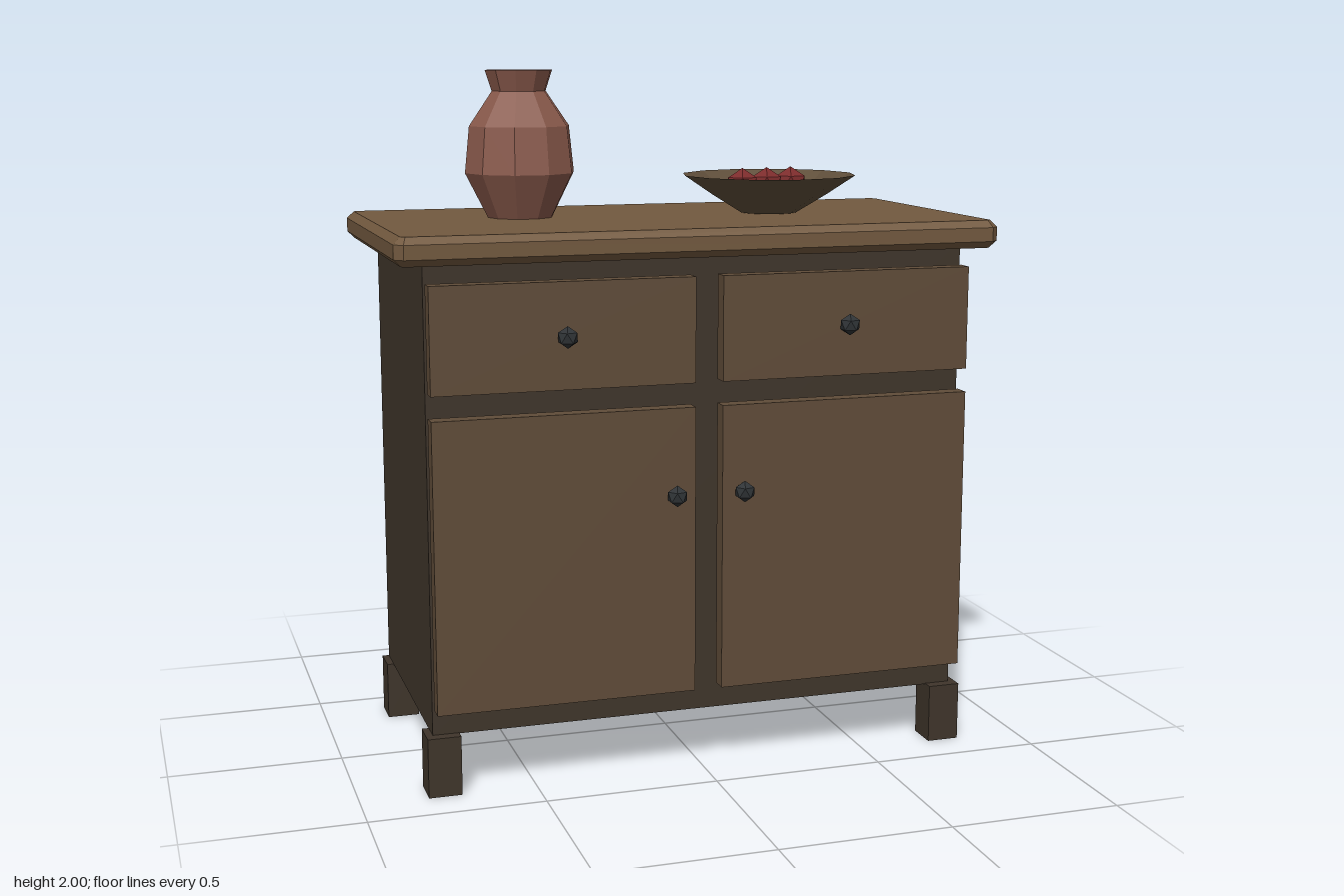
import * as THREE from 'three';

const mat = (color, side = THREE.FrontSide) =>
  new THREE.MeshStandardMaterial({ color, side, flatShading: true });

const frameWood = mat(0x3f352b);
const panelWood = mat(0x604c39);
const topWood = mat(0x72593f);
const iron = mat(0x2f3336);
const clay = mat(0x8a5a4c, THREE.DoubleSide);
const bowlWood = mat(0x5f4e3a, THREE.DoubleSide);
const fruitSkin = mat(0x7d2c2c);

export function createModel() {
  const model = new THREE.Group();

  const add = (name, geometry, material, x = 0, y = 0, z = 0) => {
    const mesh = new THREE.Mesh(geometry, material);
    mesh.name = name;
    mesh.position.set(x, y, z);
    model.add(mesh);
    return mesh;
  };

  // Box given by its extents along each axis
  const box = (name, material, [x0, x1], [y0, y1], [z0, z1]) =>
    add(name, new THREE.BoxGeometry(x1 - x0, y1 - y0, z1 - z0), material,
      (x0 + x1) / 2, (y0 + y1) / 2, (z0 + z1) / 2);

  // Low-poly ball with one corner pointing straight up
  const ball = (r) =>
    new THREE.IcosahedronGeometry(r, 0).rotateZ(Math.atan(2 / (1 + Math.sqrt(5))));

  // Open turned vessel from [radius, height] pairs
  const turned = (profile, sides) =>
    new THREE.LatheGeometry(profile.map(([r, y]) => new THREE.Vector2(r, y)), sides);

  // Cabinet carcass
  box('cabinetBody', frameWood, [-0.79, 0.79], [0.17, 1.51], [-0.403, 0.352]);

  // Legs, doors, drawers and knobs, mirrored left and right
  for (const [side, s] of [['right', -1], ['left', 1]]) {
    const span = (a, b) => (s > 0 ? [a, b] : [-b, -a]);
    box(`${side}FrontLeg`, frameWood, span(0.715, 0.81), [0, 0.172], [0.29, 0.384]);
    box(`${side}BackLeg`, frameWood, span(0.715, 0.81), [0, 0.172], [-0.404, -0.31]);
    box(`${side}Door`, panelWood, span(0.04, 0.787), [0.25, 1.077], [0.37, 0.42]);
    box(`${side}Drawer`, panelWood, span(0.04, 0.787), [1.145, 1.443], [0.37, 0.42]);
    add(`${side}DoorKnob`, ball(0.031), iron, s * 0.1, 0.83, 0.44);
    add(`${side}DrawerKnob`, ball(0.031), iron, s * 0.412, 1.293, 0.44);
  }

  // Tabletop slab with chamfered edges and corners
  const bevel = 0.02, w = 0.876 - bevel, d = 0.448 - bevel, c = 0.012;
  const outline = new THREE.Shape([
    [w, -d + c], [w, d - c], [w - c, d], [-w + c, d],
    [-w, d - c], [-w, -d + c], [-w + c, -d], [w - c, -d],
  ].map(([x, y]) => new THREE.Vector2(x, y)));
  const slab = new THREE.ExtrudeGeometry(outline, {
    depth: 0.08 - 2 * bevel, bevelThickness: bevel, bevelSize: bevel, bevelSegments: 1,
  });
  slab.rotateX(-Math.PI / 2);
  add('tabletop', slab, topWood, 0, 1.495 + bevel, -0.011);

  // Clay vase, open at the mouth
  const vase = turned([
    [0.097, 1.575], [0.163, 1.705], [0.149, 1.84], [0.08, 1.94], [0.1, 2.0],
  ], 10);
  add('vase', vase.rotateY(Math.PI / 2), clay, -0.415, 0, -0.096);

  // Shallow bowl
  add('bowl', turned([[0.085, 1.577], [0.175, 1.632], [0.262, 1.69]], 12),
    bowlWood, 0.33, 0, -0.016);

  // Row of fruit in the bowl
  for (let i = -1; i <= 1; i++) {
    add('fruit', ball(0.05), fruitSkin, 0.33 + i * 0.083, 1.66, -0.032 - i * 0.017);
  }

  return model;
}
